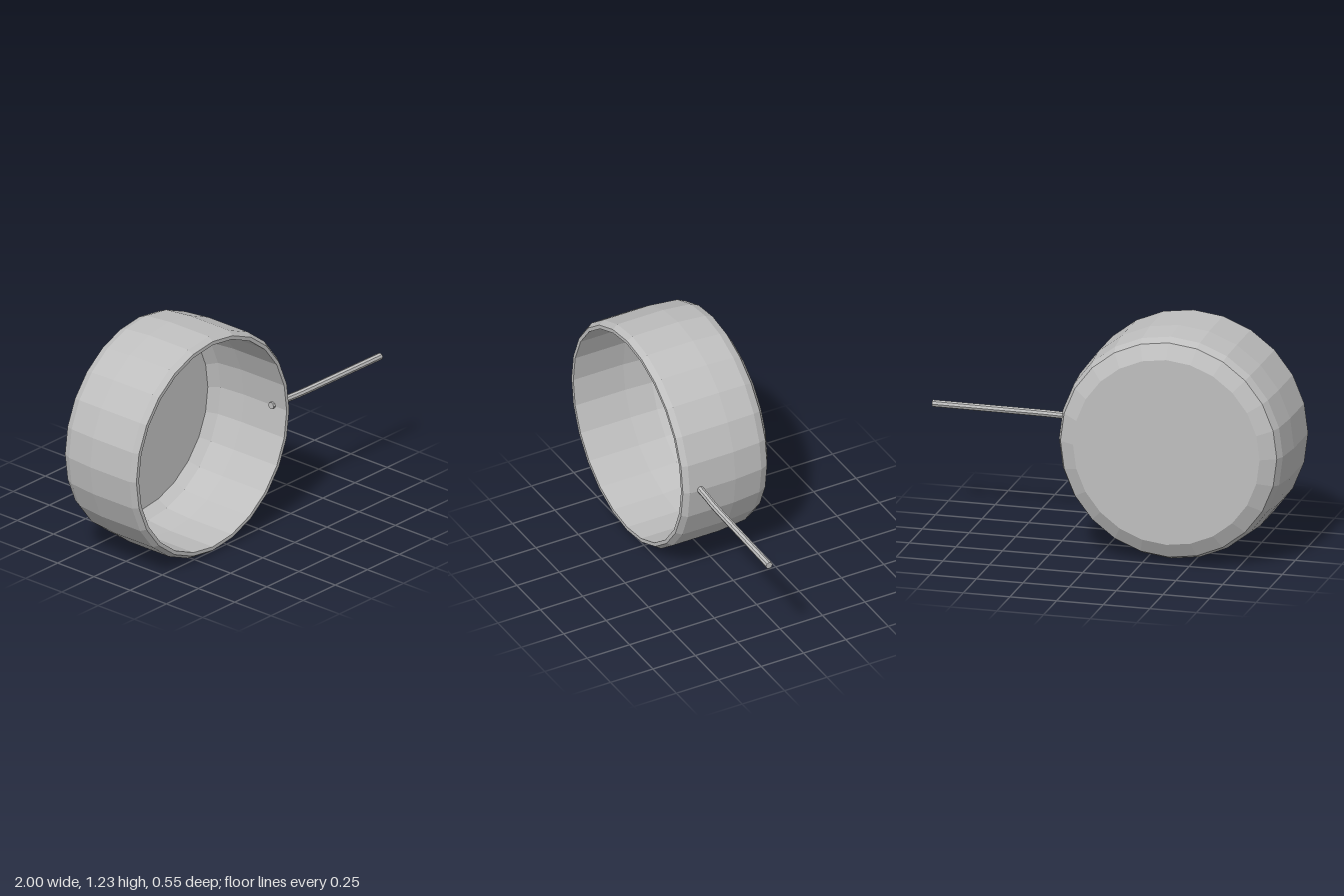
import * as THREE from 'three';

export function createModel() {
  const model = new THREE.Group();
  model.name = 'pan';
  const metal = new THREE.MeshStandardMaterial({ color: 0xbfbfbf, flatShading: true });
  metal.name = 'greyMetal';

  const add = (geometry, name) => {
    const mesh = new THREE.Mesh(geometry, metal);
    mesh.name = name;
    model.add(mesh);
    return mesh;
  };

  // Bowl: closed profile of [radius, depth], from the base outside, over the rim, to the floor inside
  const profile = [
    [0, -0.275], [0.5, -0.275], [0.58, -0.23], [0.6, -0.185], [0.615, -0.025],
    [0.615, 0.245], [0.595, 0.275], [0.575, 0.275],
    [0.575, -0.02], [0.562, -0.17], [0.52, -0.22], [0, -0.22],
  ].map(([r, d]) => new THREE.Vector2(r, d));
  const bowl = add(new THREE.LatheGeometry(profile, 24).rotateX(Math.PI / 2), 'bowl');
  bowl.position.set(-0.385, 0.617, 0);

  // Handle: thin rod with a slight bend, its root just piercing the wall
  const path = new THREE.CurvePath();
  const points = [[0.175, 0.18], [0.3, 0.185], [0.4, 0.193], [1, 0.202]]
    .map(([x, z]) => new THREE.Vector3(x, 0.621, z));
  for (let i = 1; i < points.length; i++) path.add(new THREE.LineCurve3(points[i - 1], points[i]));
  add(new THREE.TubeGeometry(path, 12, 0.019, 8), 'handle');

  // Flat ends of the rod
  const cap = (point, side, name) => {
    const mesh = add(new THREE.CircleGeometry(0.019, 8), name);
    mesh.rotation.y = side * Math.PI / 2;
    mesh.position.copy(point);
  };
  cap(points[0], -1, 'handleRoot');
  cap(points[3], 1, 'handleTip');

  return model;
}
